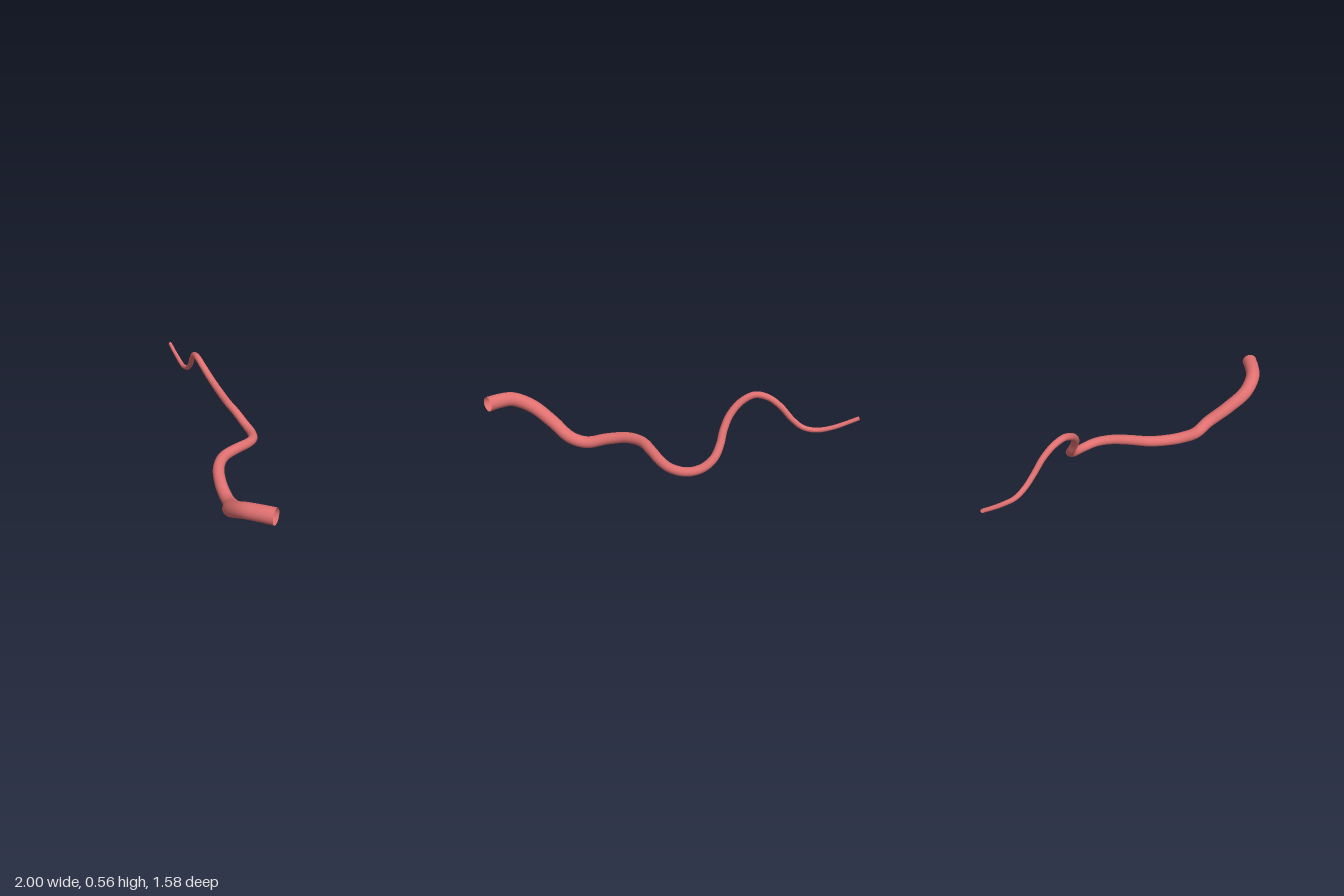
import * as THREE from 'three';

// centreline, from the wide open end to the thin tip
const PATH = [
  [0.99, 0.33, 0.705], [0.9, 0.327, 0.725], [0.8, 0.312, 0.735], [0.68, 0.25, 0.69],
  [0.585, 0.162, 0.567], [0.51, 0.078, 0.435], [0.42, 0.048, 0.365], [0.3, 0.083, 0.28],
  [0.2, 0.119, 0.17], [0.152, 0.133, 0.05], [0.153, 0.131, -0.1], [0.155, 0.119, -0.22],
  [0.13, 0.106, -0.32], [0.06, 0.102, -0.4], [-0.03, 0.127, -0.443], [-0.11, 0.185, -0.453],
  [-0.168, 0.255, -0.428], [-0.212, 0.335, -0.396], [-0.27, 0.42, -0.375], [-0.35, 0.5, -0.382],
  [-0.43, 0.543, -0.416], [-0.5, 0.528, -0.467], [-0.56, 0.475, -0.519], [-0.62, 0.39, -0.57],
  [-0.68, 0.333, -0.612], [-0.76, 0.313, -0.655], [-0.85, 0.334, -0.708], [-0.93, 0.368, -0.75],
  [-0.995, 0.4, -0.785],
];
const START_RADIUS = 0.051;
const END_RADIUS = 0.013;

// tube of unit radius whose rings are scaled to a steady taper
function taperedTube(curve, rings, sides) {
  const geo = new THREE.TubeGeometry(curve, rings, 1, sides, false);
  const pos = geo.attributes.position;
  const p = new THREE.Vector3();
  for (let i = 0; i <= rings; i++) {
    const t = i / rings;
    const centre = curve.getPointAt(t);
    const radius = THREE.MathUtils.lerp(START_RADIUS, END_RADIUS, t);
    for (let j = 0; j <= sides; j++) {
      const k = i * (sides + 1) + j;
      p.fromBufferAttribute(pos, k).sub(centre).multiplyScalar(radius).add(centre);
      pos.setXYZ(k, p.x, p.y, p.z);
    }
  }
  return geo;
}

export function createModel() {
  const group = new THREE.Group();
  const curve = new THREE.CatmullRomCurve3(PATH.map((p) => new THREE.Vector3(...p)));
  curve.arcLengthDivisions = 600;

  // winding tapered tube, open at both ends
  const material = new THREE.MeshStandardMaterial({ color: 0xe07070, side: THREE.DoubleSide });
  const tube = new THREE.Mesh(taperedTube(curve, 200, 24), material);
  tube.name = 'taperedTube';
  group.add(tube);
  return group;
}
